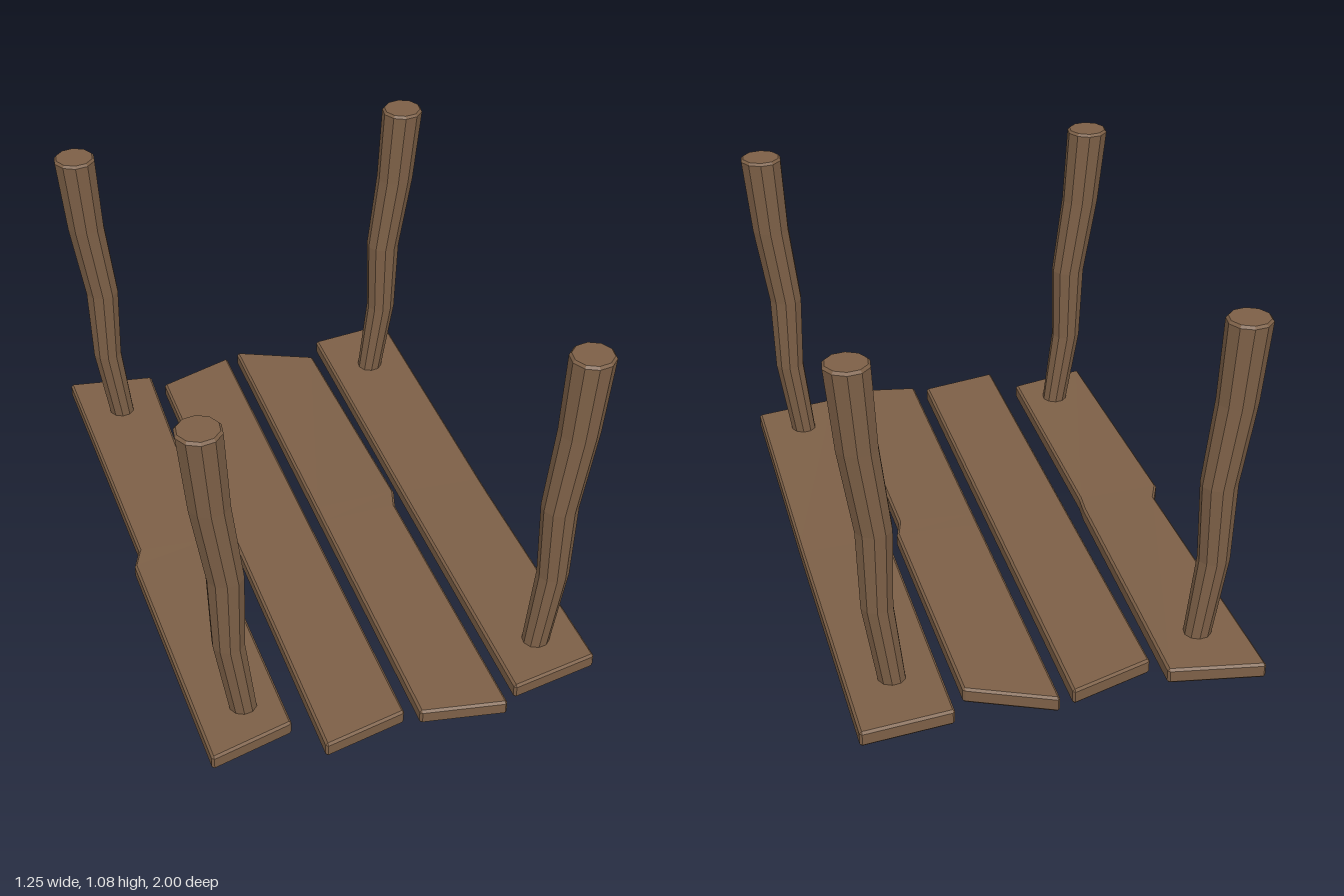
import * as THREE from 'three';

const V = (x, y, z) => new THREE.Vector3(x, y, z);

// Skin a list of equal-sized rings and cap both ends, with hard facets
function loft(rings) {
  const pos = [];
  const tri = (...pts) => pts.forEach(p => pos.push(p.x, p.y, p.z));
  const n = rings[0].length;
  for (let i = 0; i < rings.length - 1; i++) {
    const a = rings[i], b = rings[i + 1];
    for (let j = 0; j < n; j++) {
      const k = (j + 1) % n;
      tri(a[j], a[k], b[k]);
      tri(a[j], b[k], b[j]);
    }
  }
  const first = rings[0], last = rings[rings.length - 1];
  for (let j = 1; j < n - 1; j++) {
    tri(first[0], first[j + 1], first[j]);
    tri(last[0], last[j], last[j + 1]);
  }
  const g = new THREE.BufferGeometry();
  g.setAttribute('position', new THREE.Float32BufferAttribute(pos, 3));
  g.computeVertexNormals();
  return g;
}

const BOTTOM = 0.02, TOP = 0.068, BEVEL = 0.007;

// One bevelled plank section; station = [xLeft, zLeft, xRight, zRight, liftLeft, liftRight]
function section([xl, zl, xr, zr, dl = 0, dr = 0], dz = 0, end = false) {
  const c = BEVEL, e = end ? c : 0;
  const L = (ix, y) => V(xl + ix, y + dl, zl + dz);
  const R = (ix, y) => V(xr - ix, y + dr, zr + dz);
  return [
    L(e, BOTTOM + c), L(c, BOTTOM + e), R(c, BOTTOM + e), R(e, BOTTOM + c),
    R(e, TOP - c), R(c, TOP - e), L(c, TOP - e), L(e, TOP - c),
  ];
}

function plankGeometry(stations) {
  const first = stations[0], last = stations[stations.length - 1];
  return loft([
    section(first, 0, true),
    section(first, BEVEL),
    ...stations.slice(1, -1).map(s => section(s)),
    section(last, -BEVEL),
    section(last, 0, true),
  ]);
}

// Crooked leg, flaring and leaning outward; profile rows are [y, x, radius]
const LEG = [
  [0.045, 0.457, 0.041], [0.32, 0.497, 0.048], [0.57, 0.5, 0.055],
  [0.83, 0.538, 0.061], [1.077, 0.558, 0.067], [1.085, 0.558, 0.06],
];
function legGeometry(side, z) {
  const sides = 10;
  return loft(LEG.map(([y, x, r]) => Array.from({ length: sides }, (_, i) => {
    const a = (i / sides) * Math.PI * 2 + 0.17;
    return V(side * x + Math.cos(a) * r, y, z - Math.sin(a) * r);
  })));
}

export function createModel() {
  const model = new THREE.Group();
  const wood = new THREE.MeshStandardMaterial({ color: 0x7d6047 });
  wood.name = 'brownWood';
  const add = (name, geometry) => {
    const mesh = new THREE.Mesh(geometry, wood);
    mesh.name = name;
    model.add(mesh);
  };

  // Four rough planks, listed back to front
  add('rightOuterPlank', plankGeometry([
    [-0.6, -0.97, -0.315, -0.93],
    [-0.585, 0, -0.341, 0, 0, -0.012],
    [-0.615, 0.07, -0.348, 0.07, 0, -0.012],
    [-0.602, 0.945, -0.346, 0.88],
  ]));
  add('rightInnerPlank', plankGeometry([
    [-0.28, -0.87, -0.023, -0.957],
    [-0.28, 0.995, -0.023, 0.938],
  ]));
  add('leftInnerPlank', plankGeometry([
    [0.02, -0.98, 0.277, -0.875],
    [0.02, -0.03, 0.29, -0.03, 0, 0.006],
    [0.02, 0.04, 0.27, 0.04, 0, 0.006],
    [0.02, 0.955, 0.277, 0.993],
  ]));
  add('leftOuterPlank', plankGeometry([
    [0.32, -0.965, 0.598, -1],
    [0.32, -0.03, 0.598, -0.03, -0.005, -0.016],
    [0.32, 0.04, 0.598, 0.04, -0.005, -0.016],
    [0.32, 0.94, 0.598, 0.888],
  ]));

  // Four legs standing on the outer planks
  for (const [side, sideName] of [[1, 'Left'], [-1, 'Right']]) {
    for (const [z, endName] of [[0.765, 'front'], [-0.765, 'back']]) {
      add(`${endName}${sideName}Leg`, legGeometry(side, z));
    }
  }
  return model;
}
